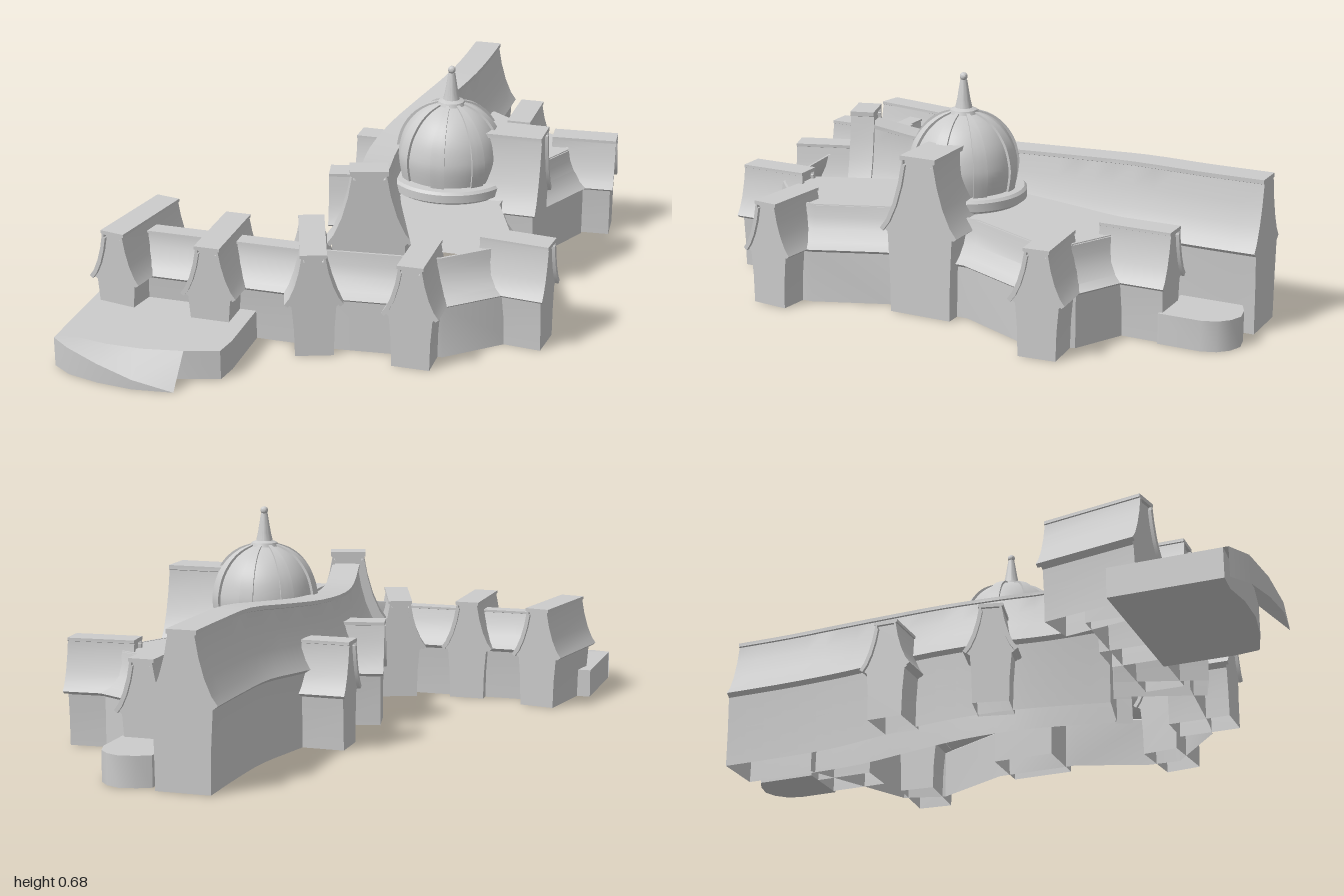
import * as THREE from 'three';
import { toCreasedNormals } from 'three/addons/utils/BufferGeometryUtils.js';

const material = new THREE.MeshStandardMaterial({ color: 0xcccccc, side: THREE.DoubleSide });

function mesh(geometry, name, crease = 0.6) {
  const m = new THREE.Mesh(toCreasedNormals(geometry, crease), material);
  m.name = name;
  return m;
}

// Sweeps a profile [[offset, y]] along a ground path [[x, z, heightScale]] with mitred corners.
function sweep(profile, path, { closed = false, caps = true } = {}) {
  const pts = path.map(([x, z]) => new THREE.Vector2(x, z));
  const normals = pts.slice(1).map((p, i) => {
    const d = p.clone().sub(pts[i]).normalize();
    return new THREE.Vector2(d.y, -d.x);
  });
  const pos = [], index = [], n = profile.length;
  pts.forEach((p, i) => {
    const a = normals[Math.max(0, i - 1)], b = normals[Math.min(i, normals.length - 1)];
    const m = a.clone().add(b).normalize();
    m.divideScalar(m.dot(a));
    for (const [o, y] of profile) pos.push(p.x + m.x * o, y * (path[i][2] ?? 1), p.y + m.y * o);
  });
  for (let i = 0; i < pts.length - 1; i++) {
    for (let j = 0; j < (closed ? n : n - 1); j++) {
      const k = (j + 1) % n, a = i * n + j, b = i * n + k;
      index.push(a, a + n, b, b, a + n, b + n);
    }
  }
  if (caps) {
    const tris = THREE.ShapeUtils.triangulateShape(profile.map(([x, y]) => new THREE.Vector2(x, y)), []);
    const last = (pts.length - 1) * n;
    for (const [a, b, c] of tris) index.push(a, b, c, last + a, last + c, last + b);
  }
  const g = new THREE.BufferGeometry();
  g.setAttribute('position', new THREE.Float32BufferAttribute(pos, 3));
  g.setIndex(index);
  return g;
}

// Concave roof slope from eave to capped ridge, as fractions of the roof size
const SLOPE = [[1, 0], [0.72, 0.13], [0.42, 0.36], [0.18, 0.64], [0.02, 0.93], [0.1, 0.94], [0.1, 1]];
const slope = (top, eave, eaveY, h) =>
  SLOPE.map(([u, v]) => [top + u * (eave - top), eaveY + v * (h - eaveY)]);
const mirrored = half => [...half, ...half.map(([x, y]) => [-x, y]).reverse()];

// Full cross-section: battered walls under an overhanging roof
function section(top, eave, eaveY, h) {
  const wall = eave - 0.015;
  return mirrored([[wall - 0.008, 0], [wall - 0.006, eaveY * 0.5], [wall, eaveY - 0.012],
    ...slope(top, eave, eaveY, h)]);
}

const SMALL = [0.034, 0.086, 0.17, 0.325];
const LARGE = [0.05, 0.128, 0.26, 0.49];

// Gabled bay: hollow body plus a roof shell that projects past both gable ends
function gabledBay(name, x, z, dx, dz, length, size) {
  const g = new THREE.Group();
  g.name = name;
  const l = Math.hypot(dx, dz);
  const line = len => [-1, 1].map(s => [x + s * dx / l * len / 2, z + s * dz / l * len / 2]);
  const [top, eave, eaveY, h] = size;
  const outer = mirrored(slope(...size));
  const inner = mirrored(slope(top - 0.01, eave - 0.01, eaveY - 0.008, h - 0.012));
  g.add(mesh(sweep(section(top - 0.008, eave - 0.006, eaveY, h - 0.008), line(length - 0.02)), 'bayBody'));
  g.add(mesh(sweep([...outer, ...inner.reverse()], line(length), { closed: true }), 'bayRoof'));
  return g;
}

const groundShape = pts => new THREE.Shape(pts.map(([x, z]) => new THREE.Vector2(x, -z)));

function slab(pts, height, name) {
  const g = new THREE.ExtrudeGeometry(groundShape(pts), { depth: height, bevelEnabled: false });
  return mesh(g.rotateX(-Math.PI / 2), name);
}

function createDome() {
  const g = new THREE.Group();
  g.name = 'dome';
  g.position.set(0.23, 0, -0.065);
  const curve = new THREE.SplineCurve([[0.153, 0.32], [0.163, 0.38], [0.161, 0.42], [0.146, 0.47],
    [0.115, 0.515], [0.075, 0.545], [0.028, 0.562]].map(p => new THREE.Vector2(...p)));
  const shell = curve.getPoints(20);
  g.add(mesh(new THREE.LatheGeometry(shell, 48), 'domeShell'));
  const lathe = (pts, name, seg) =>
    g.add(mesh(new THREE.LatheGeometry(pts.map(p => new THREE.Vector2(...p)), seg), name));
  lathe([[0.18, 0.28], [0.18, 0.292], [0.193, 0.3], [0.193, 0.325], [0.185, 0.333], [0.15, 0.335]], 'domeRing', 48);
  // Raised ribs with side edges running down to the shell
  const w = 0.26;
  for (let i = 0; i < 8; i++) {
    const start = i * Math.PI / 4 - w / 2;
    const rib = shell.map(p => new THREE.Vector2(p.x + 0.008, p.y + 0.003));
    g.add(mesh(new THREE.LatheGeometry(rib, 3, start, w), 'domeRib'));
    for (const a of [start, start + w]) {
      const pos = [], index = [];
      shell.forEach((p, k) => {
        for (const q of [p, rib[k]]) pos.push(q.x * Math.sin(a), q.y, q.x * Math.cos(a));
        if (k) index.push(2 * k - 2, 2 * k - 1, 2 * k, 2 * k, 2 * k - 1, 2 * k + 1);
      });
      const side = new THREE.BufferGeometry();
      side.setAttribute('position', new THREE.Float32BufferAttribute(pos, 3));
      side.setIndex(index);
      g.add(mesh(side, 'domeRibEdge'));
    }
  }
  lathe([[0.045, 0.555], [0.04, 0.568], [0.026, 0.574], [0.02, 0.6], [0.012, 0.65], [0.01, 0.66]], 'spire', 20);
  const ball = mesh(new THREE.SphereGeometry(0.012, 16, 10), 'spireBall');
  ball.position.y = 0.669;
  g.add(ball);
  return g;
}

// Landing with a sloping front skirt that drops toward one side
function createLanding() {
  const g = new THREE.Group();
  g.name = 'frontLanding';
  const arc = [[-0.69, 0.91], [-0.62, 0.905], [-0.53, 0.92], [-0.42, 0.92], [-0.3, 0.9]];
  g.add(slab([[-0.69, 0.58], ...arc, [-0.2, 0.87], [-0.19, 0.8], [-0.19, 0.58]], 0.09, 'landing'));
  const edge = [[-0.69, 0.925, 0.09], [-0.63, 0.965, 0.085], [-0.53, 0.99, 0.06], [-0.42, 1, 0.03], [-0.3, 0.985, 0]];
  const pos = [], index = [];
  arc.forEach(([x, z], i) => {
    const [ex, ez, ey] = edge[i];
    pos.push(x, 0.09, z, ex, ey, ez, ex, 0, ez);
    if (i) for (const j of [0, 1]) {
      const a = 3 * i - 3 + j;
      index.push(a, a + 1, a + 3, a + 3, a + 1, a + 4);
    }
  });
  const skirt = new THREE.BufferGeometry();
  skirt.setAttribute('position', new THREE.Float32BufferAttribute(pos, 3));
  skirt.setIndex(index);
  g.add(mesh(skirt, 'landingSkirt'));
  return g;
}

export function createModel() {
  const model = new THREE.Group();
  model.name = 'domedHall';

  // Long curving hall whose ridge dips in the middle
  const hallPath = new THREE.CatmullRomCurve3([[0.127, 1, -1], [0.127, 1, -0.8], [0.117, 1, -0.6], [0.075, 0.96, -0.4],
    [0.037, 0.92, -0.2], [0.03, 0.9, 0], [0.05, 0.91, 0.15], [0.088, 0.99, 0.33]].map(p => new THREE.Vector3(...p)));
  model.add(mesh(sweep(section(0.038, 0.105, 0.25, 0.455), hallPath.getPoints(21).map(p => [p.x, p.z, p.y])), 'longHall'));

  // Gabled bays: centre x, z, facing direction, length, size
  const bays = [
    ['leftEndBay', -0.578, 0.523, -0.18, 0.98, 0.31, SMALL],
    ['frontBay', -0.3, 0.565, 0, 1, 0.27, SMALL],
    ['cornerBay', -0.036, 0.522, 0.33, 0.94, 0.3, SMALL],
    ['courtFrontBay', 0.3, 0.555, 0, 1, 0.215, SMALL],
    ['courtCornerBay', 0.547, 0.37, 1, 0.1, 0.21, SMALL],
    ['courtBackCornerBay', 0.575, -0.518, 1, -0.08, 0.21, SMALL],
    ['backBay', 0.335, -0.69, 0, -1, 0.22, SMALL],
    ['hallSideBay', -0.075, -0.34, -1, 0, 0.15, SMALL],
    ['hallSideBay', -0.08, 0, -0.97, 0.22, 0.13, SMALL],
    ['tallSideBay', 0.43, -0.07, 1, 0, 0.2, LARGE],
    ['hallEndGable', 0.09, 0.36, 0.3, 0.95, 0.075, LARGE],
  ];
  for (const b of bays) model.add(gabledBay(...b));

  // Front wing between the end bay and the corner bay
  model.add(mesh(sweep(section(0.02, 0.083, 0.17, 0.29), [[-0.56, 0.532], [-0.03, 0.532]]), 'frontWing'));

  // Outer curtain around the court, with a concave roof slope leaning inward
  const curtain = [[0.018, 0], [0.018, 0.158], [0, 0.17], [0.025, 0.187], [0.05, 0.22], [0.062, 0.255], [0.068, 0.293], [0.075, 0.293]];
  const route = [[0.0, 0.62], [0.3, 0.59], [0.38, 0.575], [0.58, 0.4], [0.575, 0.28], [0.49, 0.06],
    [0.49, -0.2], [0.605, -0.45], [0.56, -0.6], [0.4, -0.68], [0.2, -0.78]];
  model.add(mesh(sweep(curtain, route, { caps: false }), 'courtWall'));

  // Flat roof of the court
  const roof = new THREE.ShapeGeometry(groundShape([[0.21, -0.75], [0.38, -0.62], [0.5, -0.56], [0.535, -0.45], [0.42, -0.2],
    [0.42, 0.06], [0.51, 0.29], [0.5, 0.37], [0.4, 0.46], [0.25, 0.46], [0.13, 0.15], [0.08, 0], [0.1, -0.25], [0.17, -0.6]]));
  const courtRoof = mesh(roof.rotateX(-Math.PI / 2), 'courtRoof');
  courtRoof.position.y = 0.29;
  model.add(courtRoof);

  model.add(createDome(), createLanding());
  model.add(slab([[0.23, -0.78], [0.23, -0.97], [0.27, -0.99], [0.32, -1], [0.36, -0.985],
    [0.39, -0.955], [0.405, -0.91], [0.405, -0.78]], 0.092, 'backStep'));
  return model;
}
